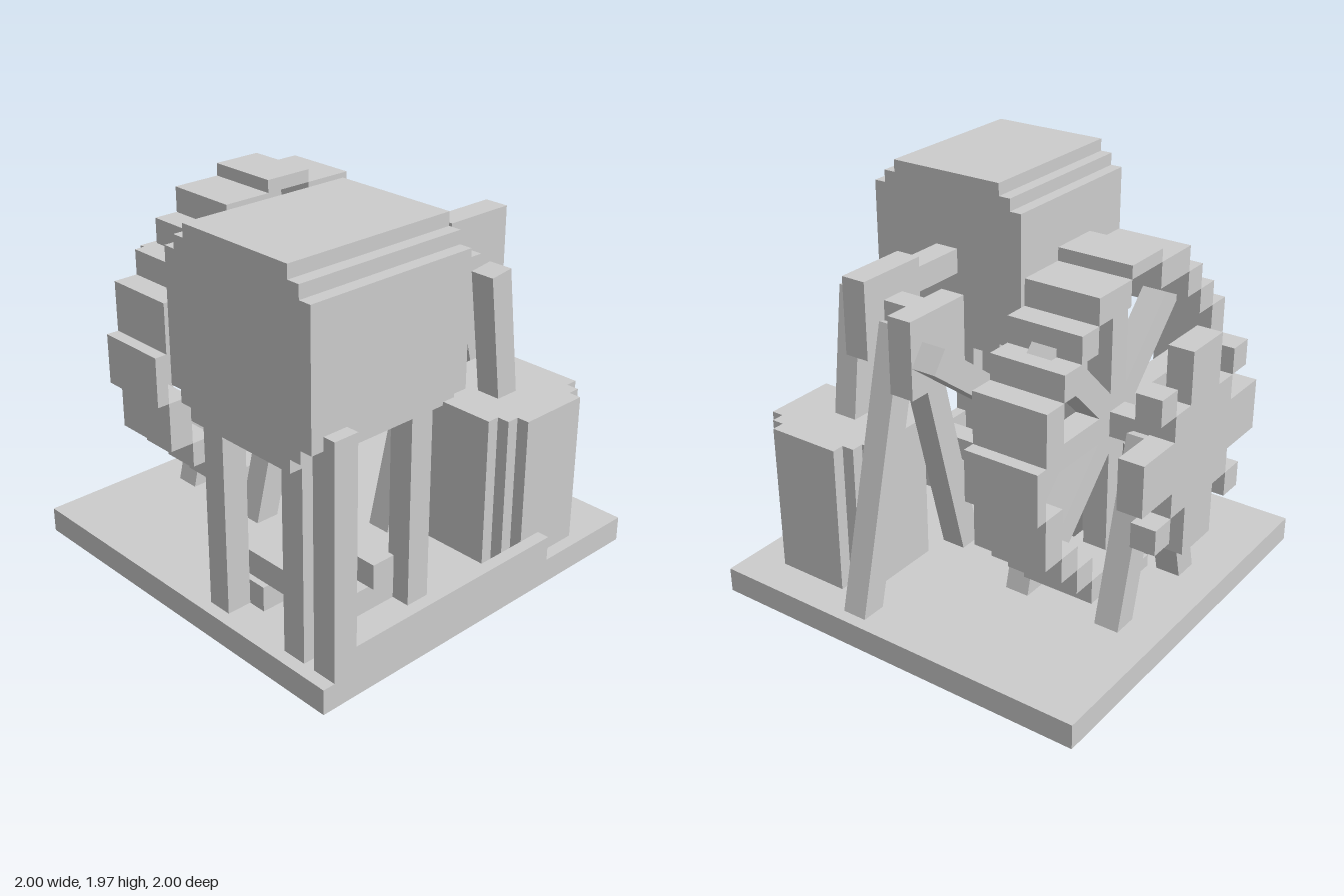
import * as THREE from 'three';

const U = 1 / 16;        // one block pixel
const LIFT = 0.0145;     // frame legs reach slightly below the base slab

export function createModel() {
  const root = new THREE.Group();
  root.name = 'waterWheelEngine';
  const grey = new THREE.MeshStandardMaterial({ color: 0xcccccc });
  grey.name = 'plain grey';

  const group = (name) => {
    const g = new THREE.Group();
    g.name = name;
    root.add(g);
    return g;
  };

  // Box from min/max corners in pixels
  const box = (parent, name, x0, x1, y0, y1, z0, z1) => {
    const m = new THREE.Mesh(new THREE.BoxGeometry((x1 - x0) * U, (y1 - y0) * U, (z1 - z0) * U), grey);
    m.position.set((x0 + x1) / 2 * U, (y0 + y1) / 2 * U + LIFT, (z0 + z1) / 2 * U);
    m.name = name;
    parent.add(m);
    return m;
  };

  // Square beam centred at (x, y), turned in the xy plane
  const beam = (parent, name, x, y, length, degrees, z0, z1) => {
    const m = box(parent, name, x - length / 2, x + length / 2, y - 1, y + 1, z0, z1);
    m.rotation.z = THREE.MathUtils.degToRad(degrees);
    return m;
  };

  // Stepped octagon outline with half width r, corners cut in two steps
  const steppedOctagon = (r) => {
    const q = [[r, r - 2], [r - 1, r - 2], [r - 1, r - 1], [r - 2, r - 1], [r - 2, r]];
    const pts = [];
    for (let k = 0; k < 4; k++) {
      const c = [1, 0, -1, 0][k], s = [0, 1, 0, -1][k];
      for (const [a, b] of q) pts.push(new THREE.Vector2((a * c - b * s) * U, (a * s + b * c) * U));
    }
    return new THREE.Shape(pts);
  };
  const steppedDrum = (parent, name, r, length) => {
    const geo = new THREE.ExtrudeGeometry(steppedOctagon(r), { depth: length * U, bevelEnabled: false });
    geo.translate(0, 0, -length * U / 2);
    const m = new THREE.Mesh(geo, grey);
    m.name = name;
    parent.add(m);
    return m;
  };

  // A-frame of two splayed legs; (x, y) is the upper outer corner offset
  const aFrame = (parent, cx, offset, top, length, z0, z1) => {
    const a = THREE.MathUtils.degToRad(14.1);
    for (const s of [1, -1]) {
      const x = offset - Math.cos(a) + Math.sin(a) * length / 2;
      const y = top - Math.sin(a) - Math.cos(a) * length / 2;
      beam(parent, s > 0 ? 'leftLeg' : 'rightLeg', cx + s * x, y, length, s * (14.1 - 90), z0, z1);
    }
  };

  // Base and front rail
  const base = group('base');
  box(base, 'baseSlab', -16, 16, 0, 2, -16, 16);
  box(base, 'frontRail', -15, 7, 2, 4, 15, 16);
  box(base, 'railPost', -15, -13, 2, 20, 14, 16);

  // Boiler on four posts
  const boiler = group('boiler');
  const tank = steppedDrum(boiler, 'boilerTank', 7, 14);
  tank.rotation.y = Math.PI / 2;
  tank.position.set(-9 * U, 24 * U + LIFT, 8 * U);
  for (const x of [-15, -5]) for (const z of [3, 11]) box(boiler, 'boilerPost', x, x + 2, 2, 18, z, z + 2);

  // Crossed logs beneath the boiler
  const fire = group('firewood');
  for (const z of [4.5, 9.5]) box(fire, 'lowerLog', -13, -5, 2, 4, z, z + 2);
  for (const x of [-12.5, -7.5]) box(fire, 'upperLog', x, x + 2, 4, 6, 4, 12);

  // Barrel with leaning rod
  const barrel = group('barrel');
  const drum = steppedDrum(barrel, 'barrelBody', 5, 12);
  drum.rotation.x = Math.PI / 2;
  drum.position.set(8 * U, 8 * U + LIFT, 10 * U);
  const tilt = THREE.MathUtils.degToRad(7.5);
  beam(barrel, 'leaningRod', 6.03 + 6 * Math.sin(tilt), 24.02 - 6 * Math.cos(tilt), 12, 7.5 - 90, 9, 11);

  // Piston, rocker hubs, crank and tall frame
  const drive = group('drive');
  box(drive, 'pistonRod', -2, 6, 23, 25, 7, 9);
  box(drive, 'frontRockerHub', 5, 11, 21, 27, 5, 7);
  box(drive, 'rearRockerHub', 5, 11, 19, 25, 1, 3);
  box(drive, 'rockerAxle', 7, 9, 23, 25, 3, 5);
  beam(drive, 'crankArm', 5.98, 18.97, 11, 37.4, -1, 1);
  aFrame(group('tallFrame'), 8, 1.6, 23.6, 24.3, 3, 5);

  // Wheel rim: planks of one quarter, mirrored
  const wheel = group('wheel');
  const planks = [[10, 12, 2, 6], [8, 10, 6, 8], [6, 8, 8, 10], [2, 6, 10, 12]];
  for (const sx of [1, -1]) {
    box(wheel, 'sidePlank', Math.min(sx * 12, sx * 13), Math.max(sx * 12, sx * 13), 14, 18, -11, -5);
    box(wheel, 'endPlank', -2, 2, Math.min(16 + sx * 12, 16 + sx * 13), Math.max(16 + sx * 12, 16 + sx * 13), -11, -5);
    for (const sy of [1, -1]) for (const [x0, x1, y0, y1] of planks) {
      const xs = [sx * x0, sx * x1].sort((a, b) => a - b);
      const ys = [sy * y0, sy * y1].sort((a, b) => a - b);
      box(wheel, 'rimPlank', xs[0], xs[1], 16 + ys[0], 16 + ys[1], -11, -5);
    }
  }
  for (const a of [0, 90]) beam(wheel, 'spoke', 0, 16, 24, a, -9, -7);
  for (const a of [45, -45]) beam(wheel, 'diagonalSpoke', 0, 16, 23.5, a, -9, -7);

  // Axle, hubs and wheel frames
  box(wheel, 'axle', -1, 1, 15, 17, -13, -3);
  box(wheel, 'frontHub', -3, 3, 13, 19, -3, -1);
  box(wheel, 'rearHub', -2, 2, 14, 18, -14, -13);
  const wheelFrame = group('wheelFrame');
  for (const z of [-5, -13]) aFrame(wheelFrame, 0, 1.93, 16.3, 15.2, z, z + 2);

  // Toothed gear at the back
  const gear = group('gear');
  const arm = [[8, -2], [8, 2], [4, 2], [4, 4], [2, 4]];
  const outline = [];
  for (let k = 0; k < 4; k++) {
    const c = [1, 0, -1, 0][k], s = [0, 1, 0, -1][k];
    for (const [a, b] of arm) outline.push(new THREE.Vector2((a * c - b * s) * U, (a * s + b * c) * U));
  }
  const plate = new THREE.Mesh(
    new THREE.ExtrudeGeometry(new THREE.Shape(outline), { depth: 2 * U, bevelEnabled: false }), grey);
  plate.name = 'gearPlate';
  plate.position.set(0, 16 * U + LIFT, -16 * U);
  gear.add(plate);
  for (const x of [-6, 4]) for (const y of [-6, 4]) box(gear, 'gearTooth', x, x + 2, 16 + y, 18 + y, -16, -14);

  return root;
}
